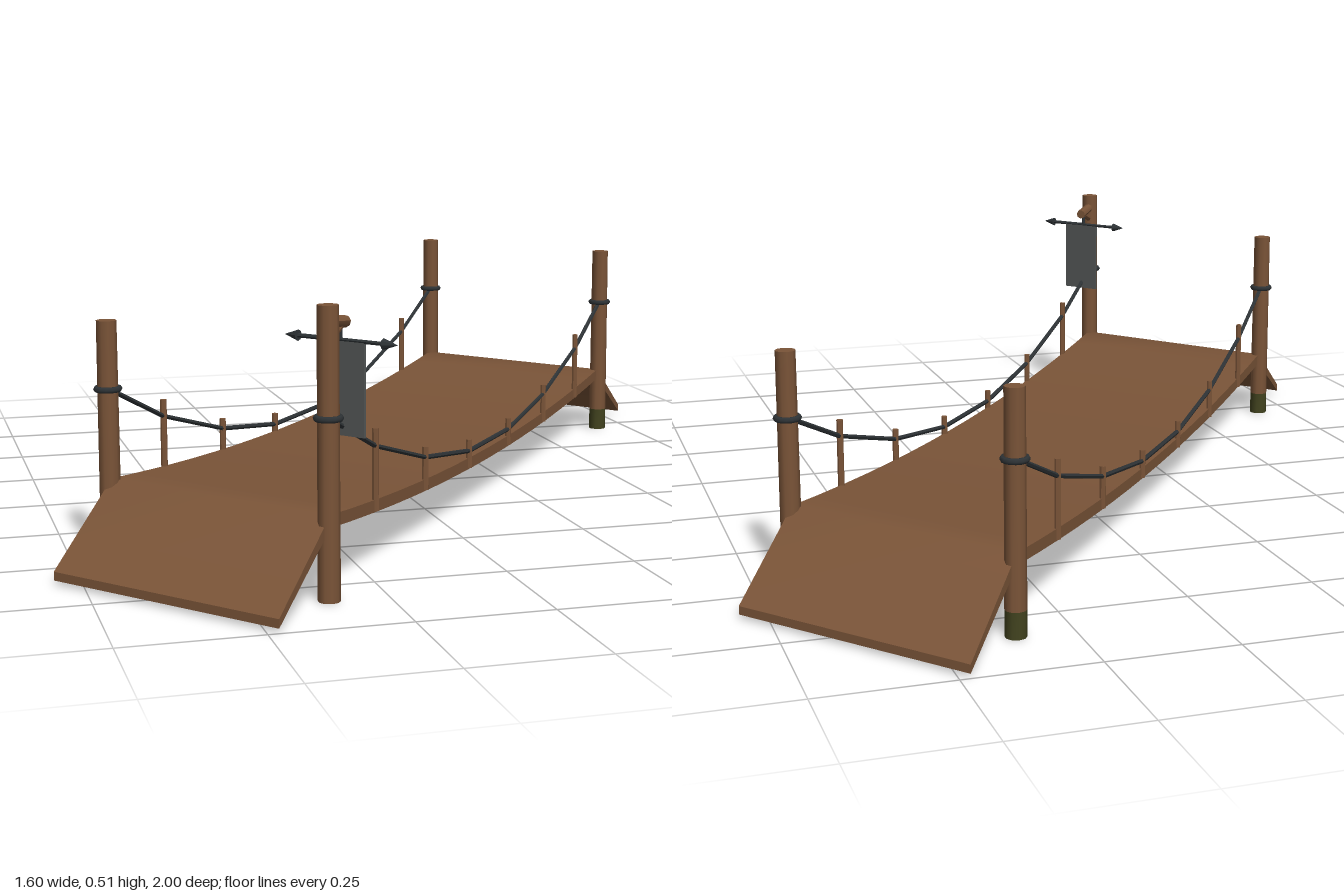
import * as THREE from 'three';
import { toCreasedNormals } from 'three/addons/utils/BufferGeometryUtils.js';

const mat = (name, color) => Object.assign(new THREE.MeshStandardMaterial({ color }), { name });

// Skewed bridge frame: s runs along the bridge (-1..1), t across it (-1..1).
const U = new THREE.Vector3(0.64, 0, -0.804);
const V = new THREE.Vector3(0.159, 0, 0.195);
const at = (s, t, y) => new THREE.Vector3(0, y, 0).addScaledVector(U, s).addScaledVector(V, t);
const POST = 0.806;
const deckY = (s) => 0.11 + 0.04 * (s / 0.8) ** 2;

export function createModel() {
  const wood = mat('wood', 0x7a5438);
  const moss = mat('moss', 0x42431f);
  const rope = mat('dark rope', 0x2e3336);
  const slate = mat('grey panel', 0x525555);
  const model = new THREE.Group();
  model.name = 'ropeBridge';

  const add = (name, geometry, material, parent = model) => {
    const mesh = new THREE.Mesh(geometry, material);
    mesh.name = name;
    parent.add(mesh);
    return mesh;
  };
  // Round bar between two points, optionally tapered.
  const bar = (name, a, b, r, material, rEnd = r, sides = 8) => {
    const dir = b.clone().sub(a);
    const geo = toCreasedNormals(new THREE.CylinderGeometry(rEnd, r, dir.length(), sides), 0.9);
    const mesh = add(name, geo, material);
    mesh.position.copy(a).add(b).multiplyScalar(0.5);
    mesh.quaternion.setFromUnitVectors(new THREE.Vector3(0, 1, 0), dir.normalize());
    return mesh;
  };

  // Sagging deck with a ramp at each end, as one side profile swept across
  const top = [[-1, 0.024]];
  for (let i = 0; i <= 16; i++) {
    const s = -0.8 + i * 0.1;
    top.push([s, deckY(s)]);
  }
  top.push([1, 0.024]);
  const under = top.map(([s, y]) => [s, y - (Math.abs(s) > 0.99 ? 0.016 : 0.023)]).reverse();
  const profile = new THREE.Shape([...top, ...under].map(([s, y]) => new THREE.Vector2(s, y)));
  const deck = new THREE.ExtrudeGeometry(profile, { depth: 2, bevelEnabled: false });
  deck.translate(0, 0, -1);
  deck.applyMatrix4(new THREE.Matrix4().makeBasis(U, new THREE.Vector3(0, 1, 0), V));
  add('deck', toCreasedNormals(deck, 0.7), wood);

  // Posts with rope bindings; the sign post is taller and has no moss
  for (const s of [-POST, POST]) {
    for (const t of [-1, 1]) {
      const isSign = s < 0 && t > 0;
      const foot = isSign ? 0 : 0.05;
      bar('post', at(s, t, foot), at(s, t, isSign ? 0.513 : 0.447), 0.02, wood, 0.019, 10);
      if (!isSign) bar('mossyFoot', at(s, t, 0), at(s, t, foot), 0.02, moss, 0.02, 10);
      const ring = add('ropeBinding', new THREE.TorusGeometry(0.021, 0.006, 6, 14), rope);
      ring.rotation.x = Math.PI / 2;
      ring.position.copy(at(s, t, 0.32));
    }
  }

  // Hand ropes hanging over small stakes: [s, rope height, stake top]
  const half = [[0.121, 0.126, 0.15], [0.363, 0.162, 0.183], [0.605, 0.232, 0.265]];
  for (const t of [-1, 1]) {
    const line = [at(-POST, t, 0.32)];
    const stakes = [...half.map(([s, y, h]) => [-s, y, h]).reverse(), ...half];
    for (const [s, y, h] of stakes) {
      bar('stake', at(s, t, deckY(s) - 0.02), at(s, t, h), 0.0065, wood);
      line.push(at(s, t, y));
    }
    line.push(at(POST, t, 0.32));
    for (let i = 1; i < line.length; i++) bar('handRope', line[i - 1], line[i], 0.0048, rope, 0.0048, 6);
  }

  // Sign bracket reaching inward along the bridge
  const hub = new THREE.Vector3(-0.322, 0.445, 0.792);
  const post = at(-POST, 1, 0);
  bar('signArm', post.clone().setY(0.483), hub.clone().setY(0.474).addScaledVector(U, 0.02), 0.011, wood);
  bar('signBrace', post.clone().setY(0.45), hub.clone().setY(0.47), 0.007, wood);
  bar('signHanger', hub, hub.clone().setY(0.475), 0.004, rope);

  // Pointed cross rod with the hanging panel beneath it
  const across = V.clone().normalize();
  for (const d of [-1, 1]) {
    const neck = hub.clone().addScaledVector(across, 0.09 * d);
    const tip = hub.clone().addScaledVector(across, 0.118 * d);
    bar('crossRod', hub, neck, 0.004, rope, 0.004, 6);
    bar('rodPoint', neck, tip, 0.01, rope, 0.0005);
  }
  const panel = add('hangingPanel', new THREE.BoxGeometry(0.09, 0.166, 0.006), slate);
  panel.position.set(-0.318, 0.362, 0.797);
  panel.rotation.y = -Math.atan2(V.z, V.x);

  return model;
}
